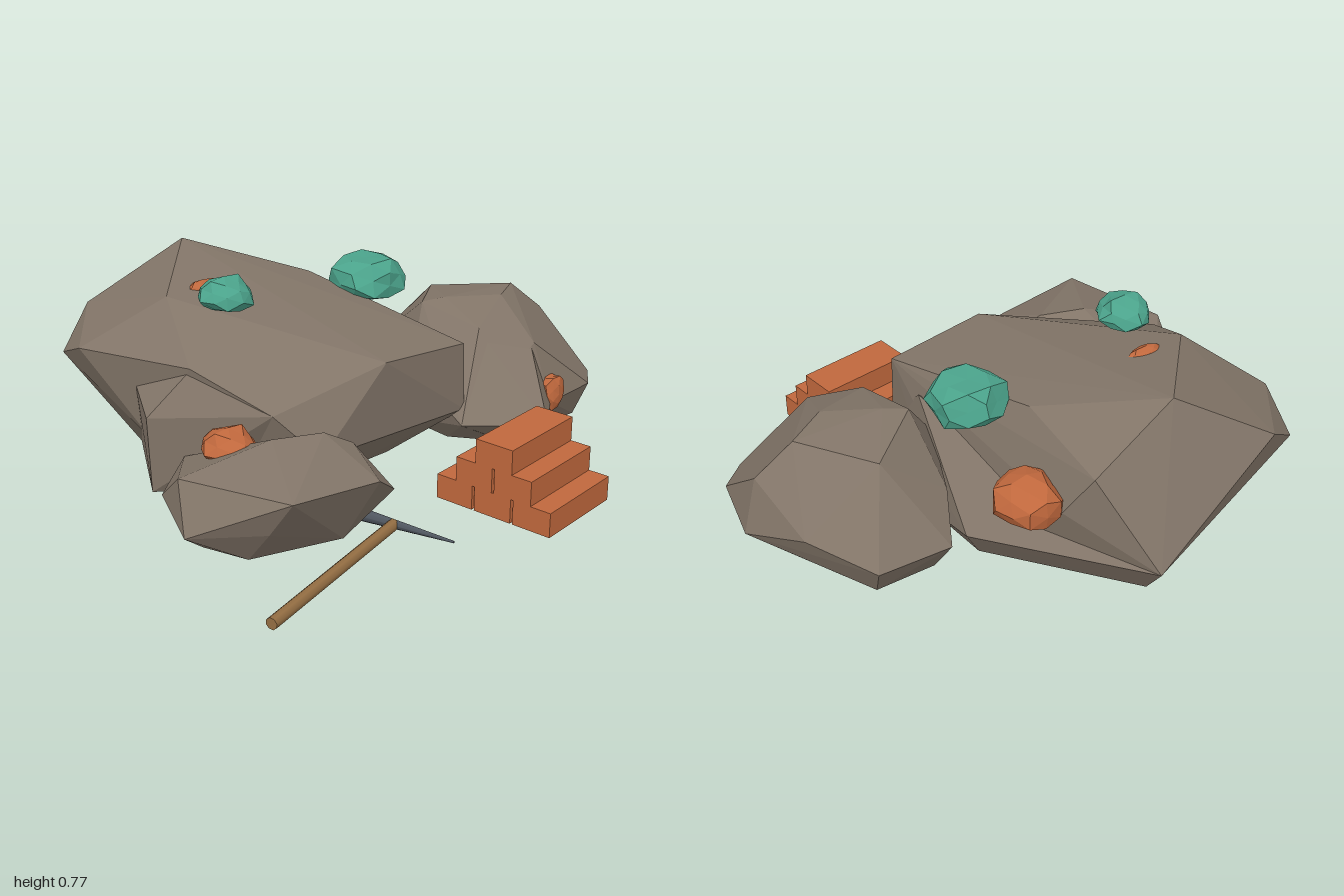
import * as THREE from 'three';
import { ConvexGeometry } from 'three/addons/geometries/ConvexGeometry.js';

const material = (name, color) => {
  const m = new THREE.MeshStandardMaterial({ color });
  m.name = name;
  return m;
};

export function createModel() {
  const model = new THREE.Group();
  model.name = 'rockPile';
  const stone = material('stone', 0x827568);
  const copper = material('copper', 0xc0683d);
  const teal = material('teal', 0x4ba38b);
  const wood = material('wood', 0x946e43);
  const iron = material('iron', 0x505760);

  const add = (name, geometry, mat, parent = model) => {
    const mesh = new THREE.Mesh(geometry, mat);
    mesh.name = name;
    parent.add(mesh);
    return mesh;
  };

  // Faceted boulders: hulls over a few corner points
  const boulder = (name, corners) =>
    add(name, new ConvexGeometry(corners.map((c) => new THREE.Vector3(...c))), stone);

  boulder('mainBoulder', [
    // crown
    [-0.23, 0.74, -0.69], [0.1, 0.56, -0.72], [-0.555, 0.675, -0.33], [-0.15, 0.53, 0.37],
    [0.25, 0.49, 0.34], [0.1, 0.625, -0.34], [-0.67, 0.52, -0.04],
    // sides
    [-0.8, 0.485, -0.53], [-0.58, 0.53, -0.82], [-0.75, 0.4, -0.73],
    [-0.54, 0.4, 0.24], [-0.38, 0.47, -0.795], [0.17, 0.4, -0.64],
    // waist
    [-0.04, 0.23, -0.92], [0.25, 0.24, 0.35], [-0.42, 0.25, 0.35], [-0.7, 0.2, -0.25],
    // underside
    [-0.26, 0.07, 0.18], [0.04, 0.07, 0.17], [0.26, 0.07, 0.02], [0.26, 0.07, -0.33],
    [-0.08, 0.07, -0.8], [-0.42, 0.07, -0.6], [-0.58, 0.07, -0.5], [-0.55, 0.07, 0.04],
  ]);
  // Low ledge and corner that widen the main boulder
  boulder('mainBoulderLedge', [
    [0.38, 0.21, -0.38], [0.25, 0.24, 0.34], [-0.04, 0.23, -0.92], [0.16, 0.36, -0.48],
    [0.25, 0.44, 0.15], [0.3, 0.07, -0.33], [0.33, 0.07, 0], [-0.08, 0.07, -0.8],
    [-0.2, 0.1, -0.2],
  ]);
  boulder('mainBoulderCorner', [
    [-0.8, 0.35, -0.12], [-0.79, 0.07, -0.12], [-0.58, 0.07, -0.5], [-0.55, 0.07, 0.04],
    [-0.54, 0.4, 0.24], [-0.66, 0.51, -0.05], [-0.72, 0.4, -0.3],
  ]);

  boulder('leftBoulder', [
    // crown
    [0.38, 0.525, -0.01], [0.46, 0.535, 0.03], [0.65, 0.53, 0.14], [0.6, 0.495, -0.19],
    [0.8, 0.52, 0.05], [0.42, 0.48, 0.25], [0.58, 0.42, 0.38], [0.94, 0.4, 0.08],
    // waist
    [0.45, 0.21, -0.4], [0.73, 0.21, -0.39], [0.37, 0.32, -0.24], [0.89, 0.28, -0.18],
    [1.0, 0.19, 0.07], [0.95, 0.2, 0.335], [0.85, 0.2, 0.425], [0.6, 0.2, 0.455],
    [0.2, 0.2, 0.39], [0.24, 0.32, 0.08],
    // underside
    [0.47, 0.07, -0.31], [0.7, 0.07, -0.31], [0.88, 0.07, 0.06], [0.82, 0.07, 0.38],
    [0.43, 0.07, 0.39], [0.3, 0.07, 0.22], [0.3, 0.07, -0.02],
  ]);
  boulder('leftBoulderNose', [
    [0.45, 0.19, 0.58], [0.2, 0.2, 0.39], [0.42, 0.47, 0.25], [0.57, 0.42, 0.37],
    [0.6, 0.2, 0.455], [0.44, 0.07, 0.4], [0.3, 0.07, 0.22],
  ]);

  boulder('rightBoulder', [
    // crown
    [-0.64, 0.39, 0.36], [-0.47, 0.385, 0.42], [-0.76, 0.355, 0.33], [-0.37, 0.33, 0.45],
    [-0.8, 0.325, 0.665], [-0.43, 0.28, 0.65], [-0.94, 0.31, 0.26],
    // waist
    [-1.0, 0.16, 0.37], [-0.92, 0.2, 0.135], [-0.72, 0.22, -0.02], [-0.26, 0.155, 0.535],
    [-0.82, 0.19, 0.57], [-0.3, 0.2, 0.2],
    // underside
    [-0.82, 0.06, 0.46], [-0.5, 0.06, 0.55], [-0.32, 0.06, 0.46], [-0.38, 0.06, 0.2],
    [-0.7, 0.06, 0.06], [-0.88, 0.06, 0.3],
  ]);

  // Ore nuggets: jittered icosahedra with a flat base
  const nugget = (name, mat, center, size, base, seed) => {
    const geometry = new THREE.IcosahedronGeometry(1, 1);
    const p = geometry.attributes.position;
    const v = new THREE.Vector3();
    for (let i = 0; i < p.count; i++) {
      v.fromBufferAttribute(p, i);
      const wobble = Math.sin(v.x * 7.1 + seed) * Math.cos(v.y * 5.3 - seed) + Math.sin(v.z * 6.7 + seed * 2);
      v.multiplyScalar(0.97 + wobble * 0.09);
      p.setXYZ(i, v.x, Math.max(v.y, base), v.z);
    }
    geometry.scale(...size);
    geometry.computeVertexNormals();
    add(name, geometry, mat).position.set(...center);
  };
  nugget('tealNuggetTop', teal, [-0.445, 0.705, -0.135], [0.1, 0.068, 0.1], -0.6, 1);
  nugget('tealNuggetSide', teal, [0.24, 0.61, -0.17], [0.145, 0.095, 0.152], -0.6, 1.9);
  nugget('copperNuggetBack', copper, [0.24, 0.425, -0.535], [0.118, 0.1, 0.133], -0.68, 3.2);
  nugget('copperNuggetRight', copper, [-0.69, 0.32, 0.195], [0.095, 0.07, 0.105], -0.7, 4.2);
  nugget('copperNuggetFront', copper, [0.625, 0.23, 0.432], [0.055, 0.075, 0.05], -0.95, 5.5);
  nugget('copperNuggetTop', copper, [-0.385, 0.667, -0.345], [0.073, 0.028, 0.034], -0.9, 0.5);

  // Stepped stack of bars, three, two, one
  const stack = new THREE.Group();
  stack.name = 'barStack';
  stack.position.set(0.239, 0, 0.658);
  stack.rotation.y = 0.152;
  model.add(stack);
  const pitch = 0.16, depth = 0.15, height = 0.091;
  for (let level = 0; level < 3; level++) {
    const count = 3 - level;
    for (let i = 0; i < count; i++) {
      const bar = add('bar', new THREE.BoxGeometry(0.37, height, depth), copper, stack);
      bar.position.set(0, height * (level + 0.5), (i - (count - 1) / 2) * pitch);
    }
  }

  // Pickaxe lying on the ground
  const rod = (name, mat, from, to, r0, r1) => {
    const a = new THREE.Vector3(...from), b = new THREE.Vector3(...to);
    const dir = b.clone().sub(a);
    const mesh = add(name, new THREE.CylinderGeometry(r1, r0, dir.length(), 8), mat);
    mesh.position.copy(a).add(b).multiplyScalar(0.5);
    mesh.quaternion.setFromUnitVectors(new THREE.Vector3(0, 1, 0), dir.normalize());
  };
  rod('pickHandle', wood, [-0.97, 0.027, 0.765], [-0.28, 0.037, 0.555], 0.021, 0.021);
  rod('pickHead', iron, [-0.335, 0.033, 0.33], [-0.22, 0.04, 0.78], 0.029, 0.004);

  return model;
}
